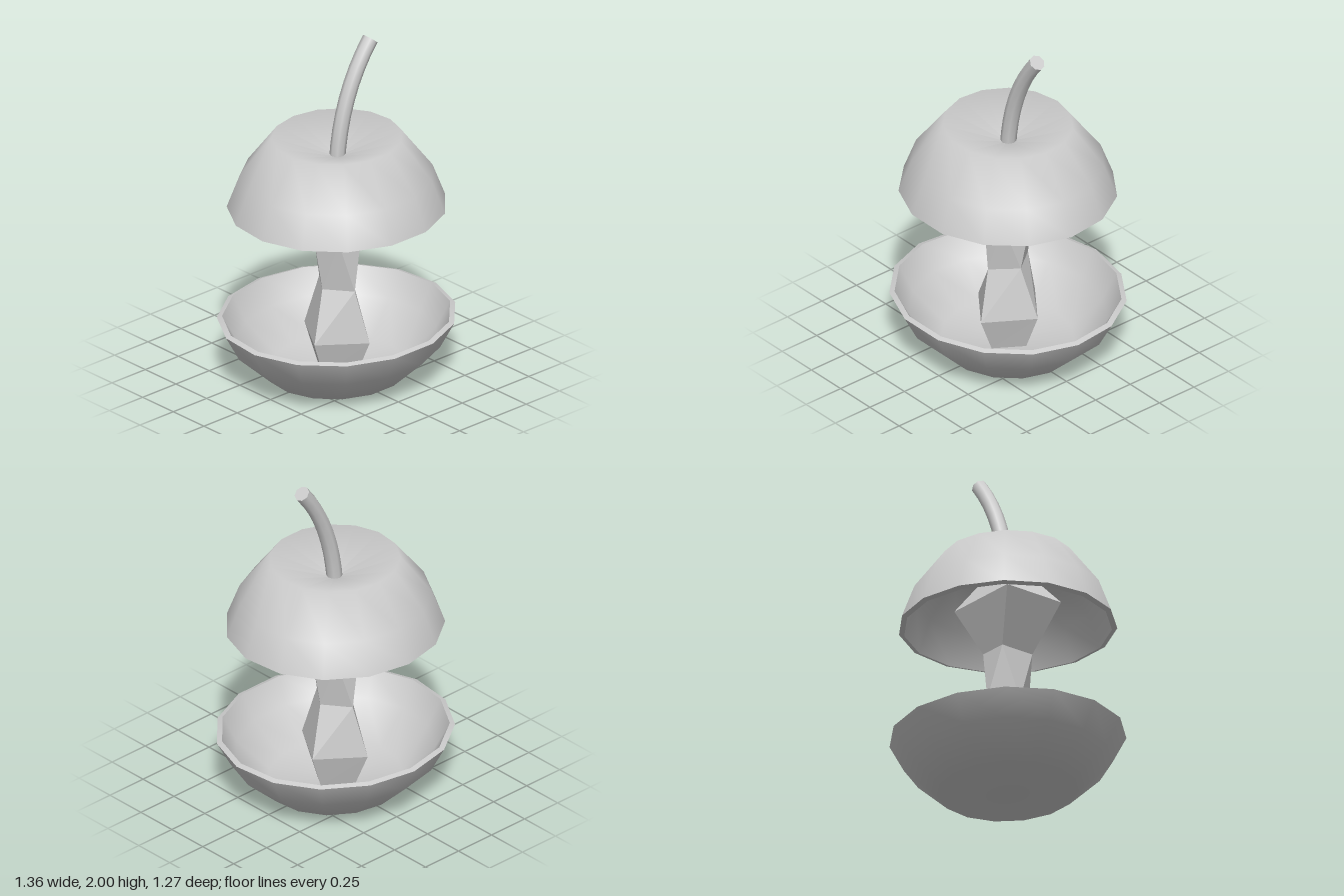
import * as THREE from 'three';

const material = new THREE.MeshStandardMaterial({ color: 0xcccccc });
const flatMaterial = new THREE.MeshStandardMaterial({ color: 0xcccccc, flatShading: true });

function addMesh(parent, name, geometry, mat = material) {
  const mesh = new THREE.Mesh(geometry, mat);
  mesh.name = name;
  parent.add(mesh);
  return mesh;
}

// Fifteen-sided shell: each profile is smooth, edges between profiles stay sharp
function shell(name, depth, profiles) {
  const group = new THREE.Group();
  group.name = name;
  for (const [part, points] of Object.entries(profiles)) {
    const profile = points.map(([r, y]) => new THREE.Vector2(r, y));
    addMesh(group, name + part, new THREE.LatheGeometry(profile, 15, Math.PI));
  }
  group.scale.z = depth;
  return group;
}

// Four-sided column from twisted rings [y, x radius, z radius, angle in degrees]
function twistedColumn(rings) {
  const sides = 4, positions = [], index = [];
  for (const [y, rx, rz, turn] of rings) {
    for (let i = 0; i < sides; i++) {
      const a = THREE.MathUtils.degToRad(turn) + (i / sides) * Math.PI * 2;
      positions.push(Math.sin(a) * rx, y, Math.cos(a) * rz);
    }
  }
  for (let r = 0; r < rings.length - 1; r++) {
    for (let i = 0; i < sides; i++) {
      const a = r * sides + i, b = r * sides + (i + 1) % sides;
      index.push(a, b, b + sides, a, b + sides, a + sides);
    }
  }
  const top = (rings.length - 1) * sides;
  index.push(0, 2, 1, 0, 3, 2, top, top + 1, top + 2, top, top + 2, top + 3);
  const geometry = new THREE.BufferGeometry();
  geometry.setAttribute('position', new THREE.Float32BufferAttribute(positions, 3));
  geometry.setIndex(index);
  const flat = geometry.toNonIndexed();
  flat.computeVertexNormals();
  return flat;
}

export function createModel() {
  const model = new THREE.Group();
  model.name = 'splitFruit';

  // Hollow lower half
  model.add(shell('lowerHalf', 0.935, {
    Skin: [[0, 0], [0.405, 0.025], [0.603, 0.205], [0.685, 0.355]],
    Rim: [[0.685, 0.355], [0.655, 0.365]],
    Inside: [[0.655, 0.365], [0.575, 0.22], [0.385, 0.055], [0, 0.03]],
  }));

  // Hollow upper half with a dimple around the stem
  model.add(shell('upperHalf', 0.965, {
    Skin: [[0.62, 1.03], [0.547, 1.22], [0.37, 1.45], [0, 1.33]],
    Inside: [[0, 1.3], [0.35, 1.415], [0.52, 1.205], [0.59, 1.02]],
    Rim: [[0.59, 1.02], [0.62, 1.03]],
  }));

  // Twisted, eaten core joining the halves
  addMesh(model, 'core', twistedColumn([
    [0.04, 0.13, 0.14, 10],
    [0.25, 0.21, 0.23, 10],
    [0.55, 0.11, 0.145, 0],
    [0.86, 0.12, 0.15, -45],
    [1.15, 0.33, 0.27, -45],
    [1.32, 0.14, 0.13, -45],
  ]), flatMaterial);

  // Curved stem with a cut end
  const curve = new THREE.QuadraticBezierCurve3(
    new THREE.Vector3(0, 1.3, 0),
    new THREE.Vector3(0.03, 1.7, 0),
    new THREE.Vector3(0.25, 1.97, 0),
  );
  addMesh(model, 'stem', new THREE.TubeGeometry(curve, 8, 0.045, 8));
  const end = addMesh(model, 'stemEnd', new THREE.CircleGeometry(0.045, 8));
  end.position.copy(curve.getPoint(1));
  end.quaternion.setFromUnitVectors(new THREE.Vector3(0, 0, 1), curve.getTangent(1));

  return model;
}
